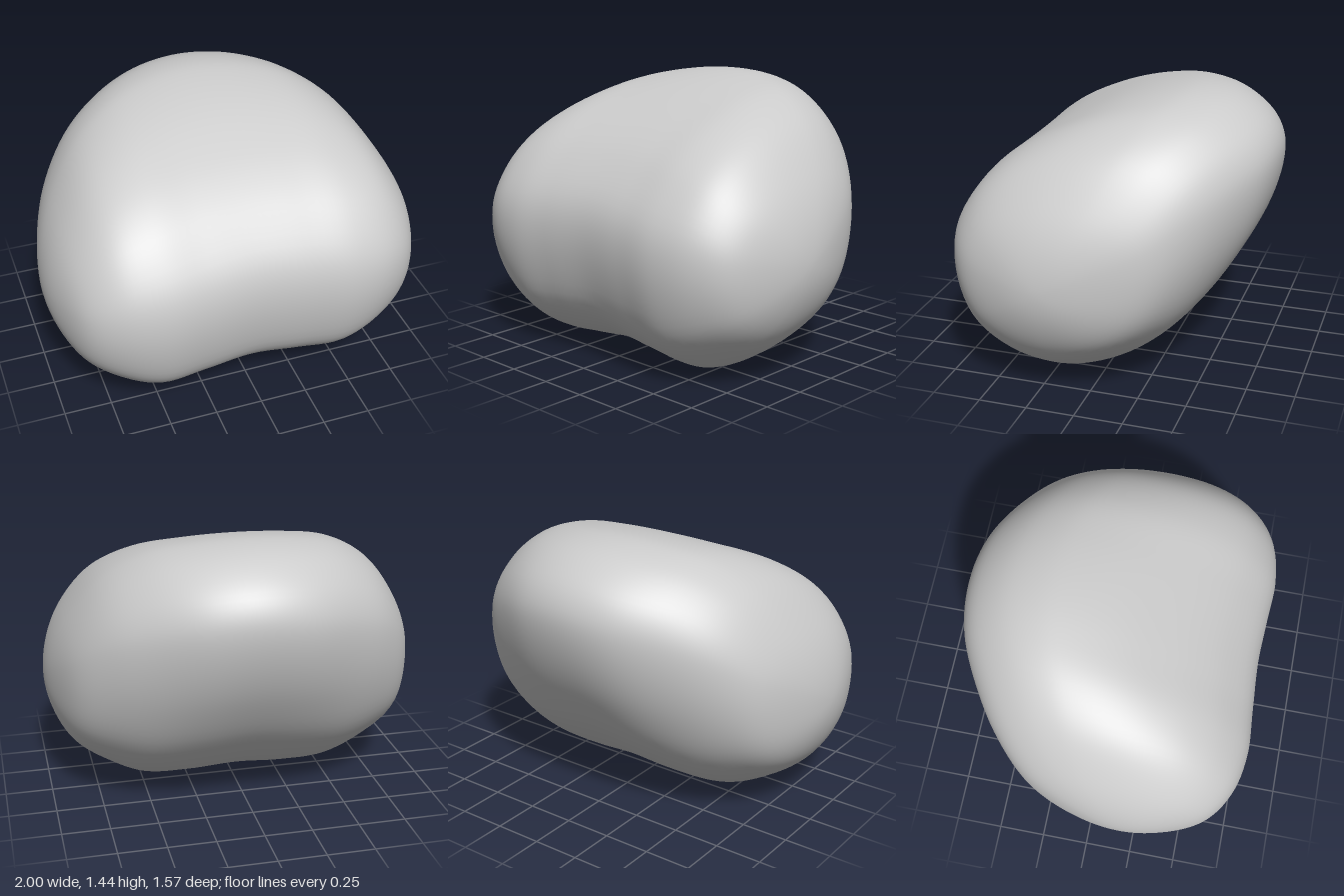
import * as THREE from 'three';
import { mergeVertices } from 'three/addons/utils/BufferGeometryUtils.js';

// Tilted egg-shaped middle section as [z, y]
const SECTION = [
  [0.785, 0.62], [0.755, 0.86], [0.6, 1.07], [0.42, 1.21], [0.2, 1.32], [0, 1.395],
  [-0.2, 1.44], [-0.37, 1.45], [-0.55, 1.41], [-0.7, 1.31], [-0.775, 1.19], [-0.785, 1.05],
  [-0.74, 0.86], [-0.65, 0.66], [-0.5, 0.43], [-0.3, 0.23], [-0.1, 0.095], [0.1, 0.02],
  [0.28, 0.02], [0.42, 0.06], [0.6, 0.17], [0.72, 0.33],
];

// Extents of the section from the middle to one end: [x, top, bottom, front, back]
const STATIONS = [
  [0, 1.45, 0.035, 0.757, -0.79],
  [0.26, 1.43, 0.015, 0.77, -0.755],
  [0.5, 1.37, 0.015, 0.782, -0.645],
  [0.71, 1.24, 0.12, 0.735, -0.5],
  [0.87, 1.035, 0.255, 0.615, -0.315],
  [0.966, 0.83, 0.43, 0.4, -0.06],
  [1, 0.62, 0.62, 0.18, 0.18],
];

// Smooth closed curve through points in the plane
const loop = (points) => new THREE.CatmullRomCurve3(
  points.map(([a, b]) => new THREE.Vector3(a, b, 0)), true, 'catmullrom', 0.5);

// Outline of the whole body, out along column `near` and back along column `far`
function outline(near, far) {
  const side = (k) => [
    ...STATIONS.slice(1).reverse().map((s) => [-s[0], s[k]]),
    ...STATIONS.map((s) => [s[0], s[k]]),
  ];
  return loop([...side(near), ...side(far).reverse().slice(1, -1)]);
}

// Scale a ring of [u, v] points to fill the unit square
function normalise(ring) {
  const box = new THREE.Box2().setFromPoints(ring);
  const size = box.getSize(new THREE.Vector2());
  return ring.map((p) => p.clone().sub(box.min).divide(size));
}

// Round the section off, amount 0 keeps it and 1 makes it a soft oval
function rounded(ring, amount) {
  return normalise(ring.map((p) => {
    const du = p.x - 0.5;
    const dv = p.y - 0.5;
    const radius = (Math.abs(du) ** 2.2 + Math.abs(dv) ** 2.2) ** (1 / 2.2);
    const k = 1 + amount * (0.5 / radius - 1);
    return new THREE.Vector2(du * k, dv * k);
  }));
}

function bodyGeometry(rows = 72, cols = 96) {
  const heights = outline(1, 2);
  const depths = outline(3, 4);
  const ring = normalise(loop(SECTION).getPoints(cols).slice(0, cols).map((p) => new THREE.Vector2(p.x, p.y)));

  const positions = [];
  const index = [];
  for (let i = 0; i <= rows; i++) {
    const t = i / rows / 2;
    const top = heights.getPoint(t);
    const bottom = heights.getPoint(1 - t);
    const front = depths.getPoint(t);
    const back = depths.getPoint(1 - t);
    for (const p of rounded(ring, 0.8 * top.x ** 2)) {
      positions.push(
        top.x,
        THREE.MathUtils.lerp(bottom.y, top.y, p.y),
        THREE.MathUtils.lerp(back.y, front.y, p.x),
      );
    }
  }
  for (let i = 0; i < rows; i++) {
    for (let j = 0; j < cols; j++) {
      const a = i * cols + j;
      const b = i * cols + ((j + 1) % cols);
      if (i > 0) index.push(a, a + cols, b);
      if (i < rows - 1) index.push(b, a + cols, b + cols);
    }
  }
  const geometry = new THREE.BufferGeometry();
  geometry.setAttribute('position', new THREE.Float32BufferAttribute(positions, 3));
  geometry.setIndex(index);
  // Weld the two poles for smooth shading
  const welded = mergeVertices(geometry, 1e-4);
  welded.computeVertexNormals();
  return welded;
}

export function createModel() {
  const group = new THREE.Group();
  group.name = 'roundedPebble';
  const body = new THREE.Mesh(bodyGeometry(), new THREE.MeshStandardMaterial({ color: 0xcccccc }));
  body.name = 'body';
  group.add(body);
  return group;
}
